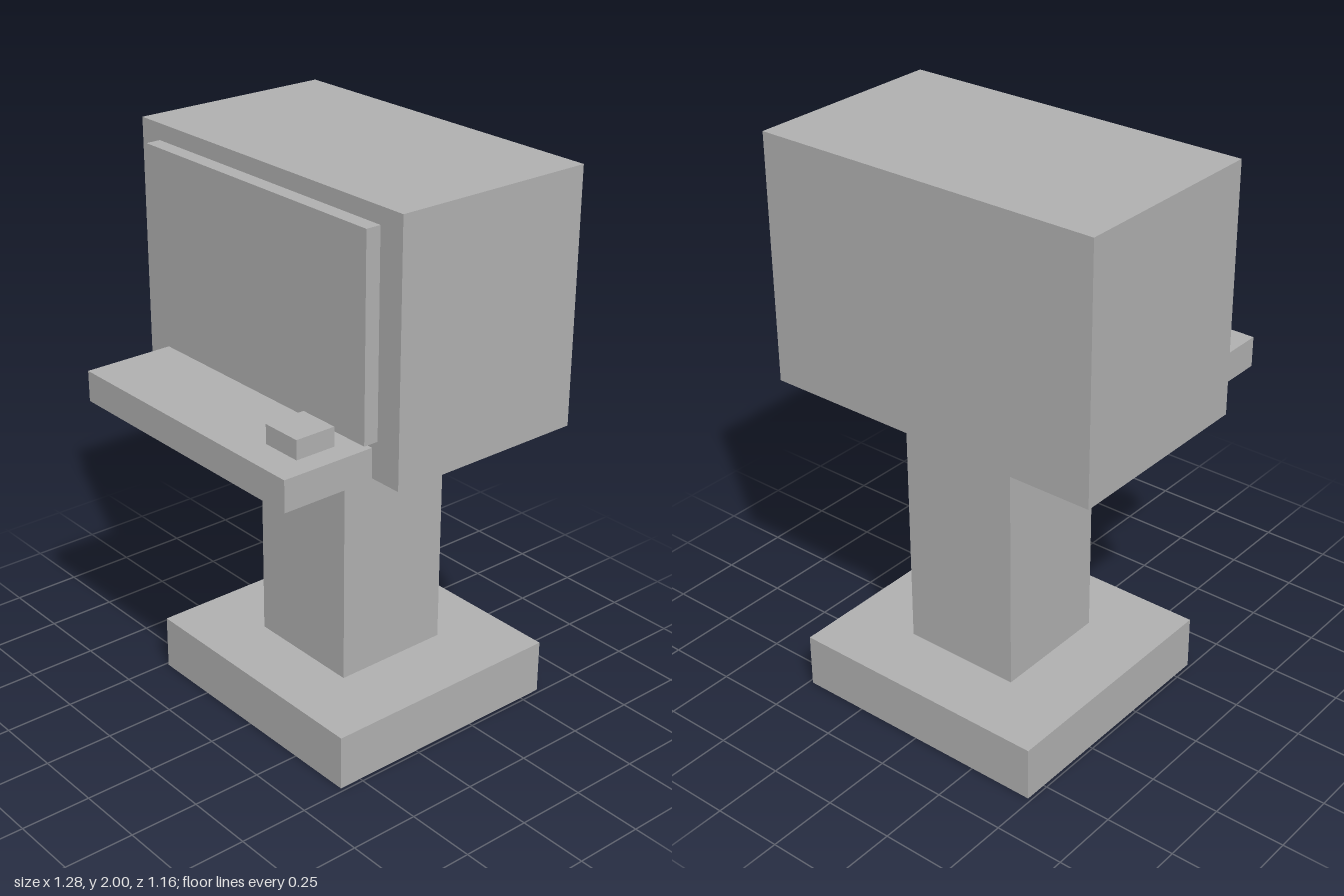
import * as THREE from 'three';

export function createModel() {
  const group = new THREE.Group();
  const grey = new THREE.MeshStandardMaterial({ color: 0xb0b0b0 });
  grey.name = 'plain grey';

  // Box given by its extents along each axis
  const block = (name, [x0, x1], [y0, y1], [z0, z1]) => {
    const mesh = new THREE.Mesh(new THREE.BoxGeometry(x1 - x0, y1 - y0, z1 - z0), grey);
    mesh.position.set((x0 + x1) / 2, (y0 + y1) / 2, (z0 + z1) / 2);
    mesh.name = name;
    group.add(mesh);
  };

  // Stand
  block('base', [-0.488, 0.486], [0, 0.197], [-0.582, 0.333]);
  block('pillar', [-0.22, 0.218], [0.197, 1.126], [-0.34, 0.096]);

  // Cabinet with raised screen
  block('cabinet', [-0.64, 0.637], [1.126, 2], [-0.49, 0.242]);
  block('screen', [-0.545, 0.541], [1.258, 1.943], [0.242, 0.295]);

  // Control shelf, tucked slightly under the cabinet, with a button
  block('shelf', [-0.519, 0.517], [1.12, 1.229], [0.096, 0.582]);
  block('button', [0.291, 0.438], [1.229, 1.296], [0.325, 0.472]);

  return group;
}
